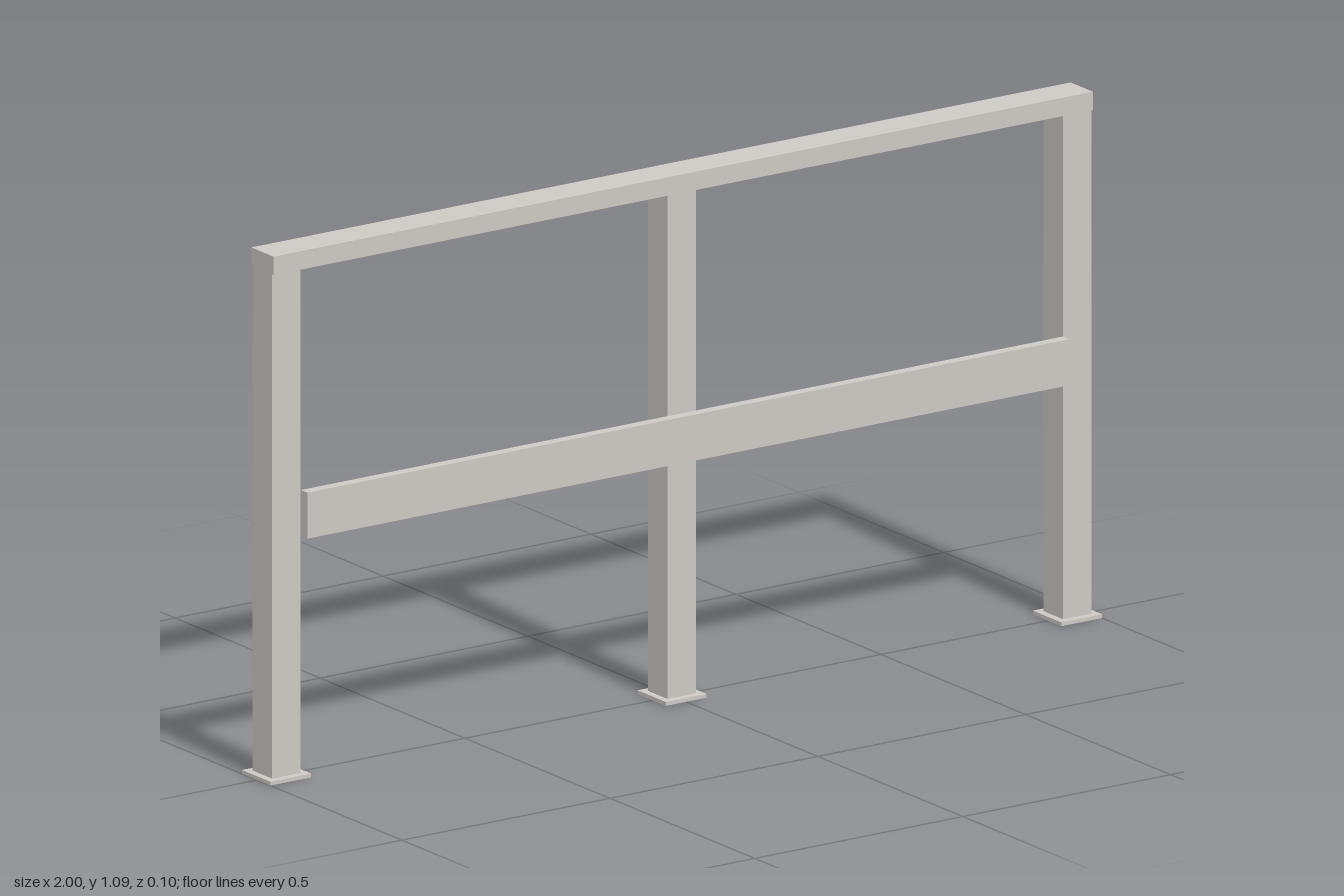
import * as THREE from 'three';

export function createModel() {
  const group = new THREE.Group();
  const steel = new THREE.MeshStandardMaterial({ color: 0xcdc9c4 });
  steel.name = 'light grey steel';

  // Box given by its lower and upper bounds
  function addBox(name, [x0, y0, z0], [x1, y1, z1]) {
    const mesh = new THREE.Mesh(new THREE.BoxGeometry(x1 - x0, y1 - y0, z1 - z0), steel);
    mesh.position.set((x0 + x1) / 2, (y0 + y1) / 2, (z0 + z1) / 2);
    mesh.name = name;
    group.add(mesh);
  }

  // Three posts, each standing on a thin square base plate
  const postX = 0.951, postZ = -0.003, postHalf = 0.034, plateHalf = 0.049, plateTop = 0.008;
  const railBottom = 1.047;
  for (const [side, x] of [['right', -postX], ['middle', 0], ['left', postX]]) {
    addBox(side + 'BasePlate',
      [x - plateHalf, 0, postZ - plateHalf], [x + plateHalf, plateTop, postZ + plateHalf]);
    addBox(side + 'Post',
      [x - postHalf, plateTop, postZ - postHalf], [x + postHalf, railBottom, postZ + postHalf]);
  }

  // Top rail, flush with the outer posts at its ends and slightly deeper than them
  const railHalf = postX + postHalf;
  addBox('topRail', [-railHalf, railBottom, -0.041], [railHalf, 1.085, 0.036]);

  // Middle rail fixed to the front of the posts
  addBox('middleRail', [-0.916, 0.496, postZ + postHalf], [0.916, 0.591, 0.053]);

  return group;
}
